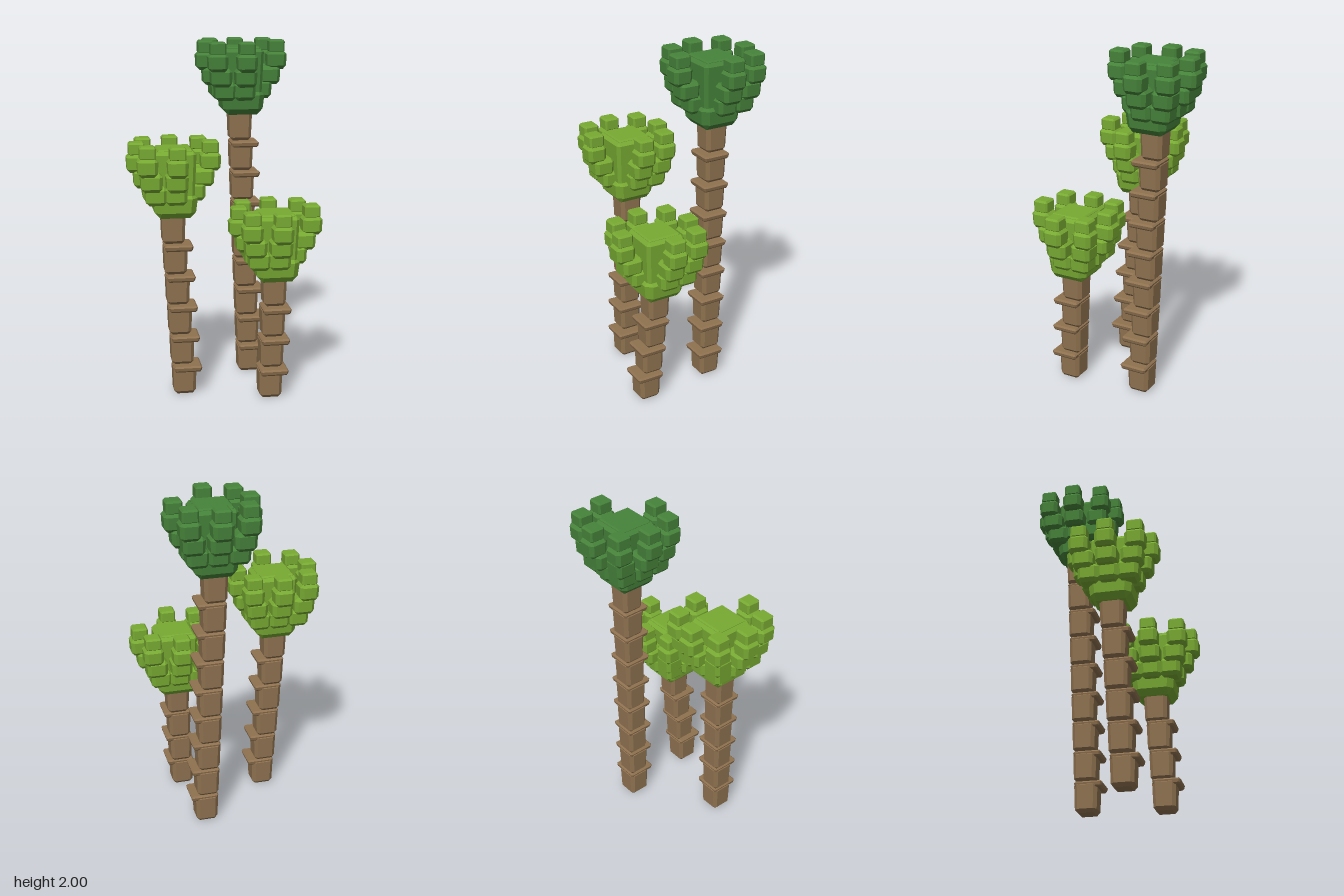
import * as THREE from 'three';
import { ConvexGeometry } from 'three/addons/geometries/ConvexGeometry.js';

const material = (name, color) => {
  const m = new THREE.MeshStandardMaterial({ color });
  m.name = name;
  return m;
};

// Bevelled block: width w (x and z), height h, bevel c, lower half scaled by taper
function block(w, h, c, taper = 1) {
  const pts = [];
  const a = w / 2, b = h / 2;
  for (const sx of [-1, 1]) for (const sy of [-1, 1]) for (const sz of [-1, 1]) {
    const s = sy < 0 ? taper : 1;
    const add = (x, y, z) => pts.push(new THREE.Vector3(sx * x * s, sy * y, sz * z * s));
    add(a, b - c, a - c);
    add(a - c, b, a - c);
    add(a - c, b - c, a);
  }
  return new ConvexGeometry(pts);
}

const STEP = 0.177; // height of one trunk segment

// Vertical tiers of each leafy branch: centre height, width, height, reach on axis, reach on diagonal
const TIERS = [
  { y: 0.142, w: 0.122, h: 0.105, axis: 0.116, diag: 0.112 },
  { y: 0.222, w: 0.122, h: 0.105, axis: 0.166, diag: 0.138 },
  { y: 0.309, w: 0.114, h: 0.105, axis: 0.208, diag: 0.160 },
  { y: 0.388, w: 0.090, h: 0.074, axis: 0.208, diag: 0.160 },
];

export function createModel() {
  const bark = material('bark brown', 0x8f7250);
  const lime = material('light leaf green', 0x78aa33);
  const forest = material('dark leaf green', 0x46823a);

  const segmentGeo = block(0.135, STEP, 0.02, 0.93);
  const collarGeo = block(0.162, 0.036, 0.009, 0.95);
  const baseGeo = block(0.25, 0.15, 0.035, 0.93);
  const coreGeo = block(0.235, 0.32, 0.018, 0.9);
  const plateGeo = block(0.195, 0.02, 0.008);
  const tierGeos = TIERS.map((t, i) => block(t.w, t.h, i === 3 ? 0.01 : 0.02, i === 3 ? 1 : 0.95));

  function addMesh(parent, name, geo, mat, x, y, z) {
    const mesh = new THREE.Mesh(geo, mat);
    mesh.name = name;
    mesh.position.set(x, y, z);
    parent.add(mesh);
  }

  // Leaning trunk of stacked segments, each with an off-centre collar at its top
  function buildTrunk(count, foot, head) {
    const trunk = new THREE.Group();
    trunk.name = 'trunk';
    for (let k = 0; k < count; k++) {
      const t = k / (count - 1);
      const x = THREE.MathUtils.lerp(foot[0], head[0], t);
      const z = THREE.MathUtils.lerp(foot[1], head[1], t);
      addMesh(trunk, 'trunkSegment', segmentGeo, bark, x, (k + 0.5) * STEP, z);
      if (k < count - 1) {
        addMesh(trunk, 'trunkCollar', collarGeo, bark, x + 0.015, (k + 1) * STEP - 0.016, z + 0.015);
      }
    }
    return trunk;
  }

  // Crown: square core with seven upward-stepping branches, open at the front left corner
  function buildCrown(mat) {
    const crown = new THREE.Group();
    crown.name = 'crown';
    addMesh(crown, 'crownBase', baseGeo, mat, 0, 0.075, 0);
    addMesh(crown, 'crownCore', coreGeo, mat, 0, 0.22, 0);
    addMesh(crown, 'crownTop', plateGeo, mat, 0, 0.38, 0);
    for (const dx of [-1, 0, 1]) for (const dz of [-1, 0, 1]) {
      if ((dx === 0 && dz === 0) || (dx === 1 && dz === 1)) continue;
      const branch = new THREE.Group();
      branch.name = 'leafBranch';
      TIERS.forEach((t, i) => {
        const r = dx && dz ? t.diag : t.axis;
        addMesh(branch, i === 3 ? 'leafTip' : 'leafBlock', tierGeos[i], mat, dx * r, t.y, dz * r);
      });
      crown.add(branch);
    }
    return crown;
  }

  const trees = [
    { name: 'tallTree', mat: forest, count: 9, foot: [0.195, -0.175], head: [0.146, -0.225], crown: [0.152, 1.575, -0.218] },
    { name: 'middleTree', mat: lime, count: 6, foot: [-0.236, 0.13], head: [-0.288, 0.085], crown: [-0.281, 1.042, 0.086] },
    { name: 'shortTree', mat: lime, count: 4, foot: [0.243, 0.262], head: [0.271, 0.218], crown: [0.278, 0.683, 0.212] },
  ];

  const model = new THREE.Group();
  model.name = 'treeCluster';
  for (const t of trees) {
    const tree = new THREE.Group();
    tree.name = t.name;
    const crown = buildCrown(t.mat);
    crown.position.set(...t.crown);
    tree.add(buildTrunk(t.count, t.foot, t.head), crown);
    model.add(tree);
  }
  return model;
}
